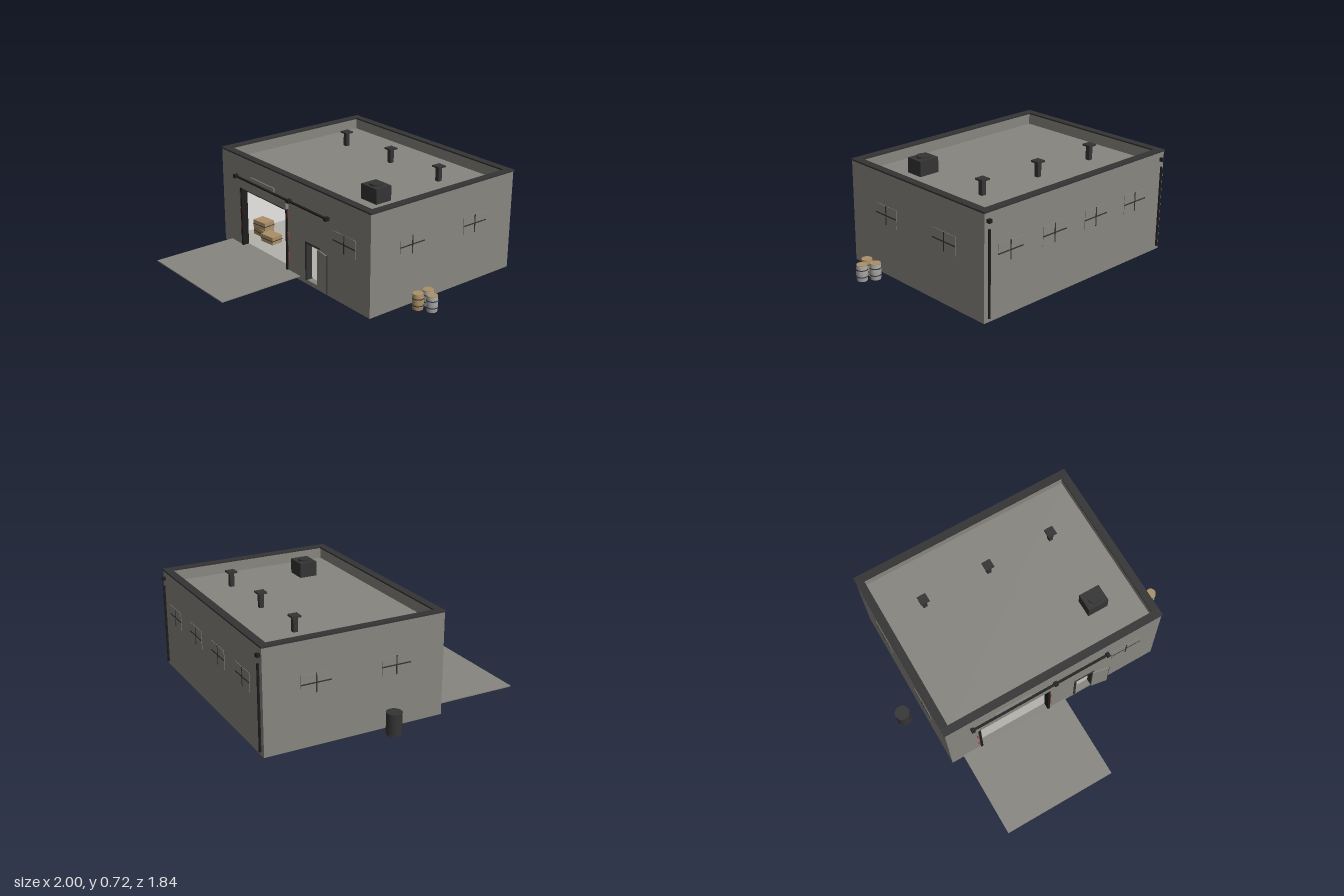
import * as THREE from 'three';

const mat = (name, color) => {
  const m = new THREE.MeshStandardMaterial({ color });
  m.name = name;
  return m;
};

export function createModel() {
  const M = {
    wall: mat('concrete', 0x888680),
    dark: mat('dark metal', 0x343434),
    black: mat('black metal', 0x1e1e1e),
    red: mat('red paint', 0xa04a40),
    wood: mat('wood', 0xab9068),
    steel: mat('light steel', 0xa6a6a6),
    lining: mat('white plaster', 0xf6f5f2),
    floor: mat('floor', 0xb4b2ac),
  };
  const root = new THREE.Group();
  root.name = 'garage';

  const add = (name, geo, m, x, y, z, parent = root) => {
    const mesh = new THREE.Mesh(geo, m);
    mesh.name = name;
    mesh.position.set(x, y, z);
    parent.add(mesh);
    return mesh;
  };
  // Box given by its minimum and maximum on each axis
  const box = (name, m, x0, x1, y0, y1, z0, z1, parent) =>
    add(name, new THREE.BoxGeometry(x1 - x0, y1 - y0, z1 - z0), m,
      (x0 + x1) / 2, (y0 + y1) / 2, (z0 + z1) / 2, parent);
  const cyl = (name, m, r, h, x, y, z, parent, sides = 20) =>
    add(name, new THREE.CylinderGeometry(r, r, h, sides), m, x, y, z, parent);

  const X0 = -0.815, X1 = 0.765, Z0 = -0.9, Z1 = 0.315, T = 0.04;

  // Front wall with the two doorways
  const rectPath = (P, x0, x1, y0, y1) => {
    const p = new P();
    p.moveTo(x0, y0); p.lineTo(x1, y0); p.lineTo(x1, y1); p.lineTo(x0, y1); p.closePath();
    return p;
  };
  const front = rectPath(THREE.Shape, X0, X1, 0, 0.68);
  front.holes.push(rectPath(THREE.Path, -0.595, -0.06, 0.03, 0.46));
  front.holes.push(rectPath(THREE.Path, 0.13, 0.28, 0.03, 0.3));
  add('frontWall', new THREE.ExtrudeGeometry(front, { depth: T, bevelEnabled: false }), M.wall, 0, 0, Z1 - T);

  // Remaining walls, slab and roof
  box('backWall', M.wall, X0, X1, 0, 0.68, Z0, Z0 + T);
  box('leftWall', M.wall, X1 - T, X1, 0, 0.68, Z0 + T, Z1 - T);
  box('rightWall', M.wall, X0, X0 + T, 0, 0.68, Z0 + T, Z1 - T);
  box('slab', M.wall, X0 + T, X1 - T, 0, 0.026, Z0 + T, Z1 - T);
  box('roof', M.wall, X0 + T, X1 - T, 0.585, 0.605, Z0 + T, Z1 - T);
  box('apron', M.wall, -0.73, 0.065, 0.023, 0.03, Z1, 0.92);

  // Interior lining, seen only from inside
  const inside = M.lining.clone();
  inside.side = THREE.BackSide;
  const insideFloor = M.floor.clone();
  insideFloor.side = THREE.BackSide;
  const room = new THREE.BoxGeometry(1.496, 0.55, 1.13);
  room.clearGroups();
  room.addGroup(0, 18, 0);
  room.addGroup(18, 6, 1);
  room.addGroup(24, 6, 2); // the front side stays open
  room.addGroup(30, 6, 0);
  const nothing = room.groups.findIndex((g) => g.materialIndex === 2);
  room.groups.splice(nothing, 1);
  add('interiorLining', room, [inside, insideFloor], -0.025, 0.305, -0.292);

  // Parapet cap
  const C = 0.048;
  box('capFront', M.dark, X0 - 0.005, X1 + 0.005, 0.68, 0.69, Z1 - C, Z1 + 0.005);
  box('capBack', M.dark, X0 - 0.005, X1 + 0.005, 0.68, 0.69, Z0 - 0.005, Z0 + C);
  box('capRight', M.dark, X0 - 0.005, X0 + C, 0.68, 0.69, Z0 + C, Z1 - C);
  box('capLeft', M.dark, X1 - C, X1 + 0.005, 0.68, 0.69, Z0 + C, Z1 - C);

  // Windows, built facing +z and turned onto their wall
  const windowAt = (x, z, turn, w) => {
    const g = new THREE.Group();
    g.name = 'window';
    const h = 0.124;
    box('pane', M.wall, -w / 2, w / 2, -h / 2, h / 2, 0, 0.003, g);
    box('mullion', M.dark, -0.004, 0.004, -h / 2, h / 2, 0, 0.005, g);
    box('transom', M.dark, -w / 2, w / 2, -0.004, 0.004, 0, 0.005, g);
    box('innerPane', M.dark, -w / 2, w / 2, -h / 2, h / 2, -T - 0.012, -T - 0.003, g);
    g.position.set(x, 0.405, z);
    g.rotation.y = turn;
    root.add(g);
  };
  windowAt(0.52, Z1, 0, 0.22);
  for (const x of [-0.54, -0.17, 0.195, 0.56]) windowAt(x, Z0, Math.PI, 0.2);
  for (const z of [-0.02, -0.56]) {
    windowAt(X1, z, Math.PI / 2, 0.2);
    windowAt(X0, z, -Math.PI / 2, 0.2);
  }

  // Vehicle doorway: frame, markers, shutter, sliding rail and sign
  for (const [x, s] of [[-0.588, -1], [-0.067, 1]]) {
    box('doorPost', M.black, x - 0.008, x + 0.008, 0.03, 0.46, Z1 - T, Z1 + 0.008);
    for (const y of [0.13, 0.28, 0.425])
      box('redMarker', M.red, x + s * 0.015 - 0.007, x + s * 0.015 + 0.007, y - 0.02, y + 0.02, Z1, Z1 + 0.005);
  }
  box('rolledShutter', M.dark, -0.595, -0.06, 0.415, 0.465, 0.22, 0.272);
  box('shutterHood', M.wall, -0.62, -0.05, 0.465, 0.525, Z1, Z1 + 0.022);
  box('slidingRail', M.black, -0.64, 0.37, 0.524, 0.534, Z1 + 0.006, Z1 + 0.022);
  for (const x of [-0.635, -0.027, 0.363])
    box('railBracket', M.black, x - 0.012, x + 0.012, 0.517, 0.541, Z1, Z1 + 0.03);
  box('signPlate', M.wall, -0.465, -0.2, 0.535, 0.563, Z1, Z1 + 0.008);

  // Side door with its open leaf
  box('frameLeft', M.dark, 0.268, 0.28, 0.03, 0.3, Z1 - T, Z1 + 0.005);
  box('frameRight', M.dark, 0.13, 0.145, 0.03, 0.3, Z1 - T, Z1 + 0.005);
  box('frameTop', M.dark, 0.145, 0.268, 0.288, 0.3, Z1 - T, Z1 + 0.005);
  const leaf = new THREE.Group();
  leaf.name = 'doorLeaf';
  box('leafPanel', M.wall, 0, 0.115, 0.03, 0.29, 0, 0.008, leaf);
  box('leafEdge', M.dark, 0.115, 0.118, 0.03, 0.29, 0, 0.008, leaf);
  leaf.position.set(0.268, 0, Z1 + 0.006);
  leaf.rotation.y = -0.16;
  root.add(leaf);

  // Vehicle lift
  for (const [x, s] of [[-0.54, 1], [-0.125, -1]]) {
    box('liftPost', M.red, x - 0.02, x + 0.02, 0.03, 0.42, -0.32, -0.27);
    const a = x + s * 0.195;
    box('liftArm', M.red, Math.min(x, a), Math.max(x, a), 0.083, 0.1, -0.3, -0.28);
    cyl('liftPad', M.black, 0.022, 0.01, a - s * 0.02, 0.104, -0.29, root, 12);
  }
  box('liftBase', M.red, -0.57, -0.5, 0.095, 0.14, -0.33, -0.26);

  // Crates with dark bands
  const crate = (x, y, z, turn) => {
    const g = new THREE.Group();
    g.name = 'crate';
    box('crateBody', M.wood, -0.06, 0.06, 0, 0.055, -0.045, 0.045, g);
    box('crateBand', M.dark, -0.0615, 0.0615, 0.024, 0.029, -0.0465, 0.0465, g);
    g.position.set(x, y, z);
    g.rotation.y = turn;
    root.add(g);
  };
  crate(-0.645, 0.031, 0.1, 0);
  crate(-0.645, 0.087, 0.1, 0.12);
  crate(-0.51, 0.031, 0.13, 0.1);

  // Workshop corner behind the side door
  box('cupboard', M.wood, 0.1, 0.215, 0.15, 0.29, -0.8, -0.72);
  box('toolRack', M.red, 0.23, 0.25, 0.03, 0.28, -0.5, -0.46);
  box('rackFoot', M.red, 0.17, 0.27, 0.031, 0.047, -0.52, -0.42);
  box('machine', M.dark, 0.2, 0.275, 0.1, 0.16, -0.45, -0.4);

  // Roof vents and ventilation unit
  for (const x of [-0.5, -0.025, 0.445]) {
    box('ventPipe', M.dark, x - 0.015, x + 0.015, 0.6, 0.7, -0.555, -0.525);
    box('ventCap', M.dark, x - 0.031, x + 0.031, 0.7, 0.711, -0.571, -0.509);
  }
  box('roofUnit', M.dark, 0.375, 0.52, 0.6, 0.705, -0.06, 0.05 + 0.012);
  cyl('unitFan', M.dark, 0.042, 0.012, 0.447, 0.711, 0.002);

  // Downpipes on the back
  for (const x of [-0.785, 0.735]) {
    cyl('downpipe', M.black, 0.008, 0.55, x, 0.305, Z0 - 0.011, root, 10);
    box('rainHead', M.black, x - 0.012, x + 0.012, 0.62, 0.642, Z0 - 0.022, Z0);
  }

  // Barrels, slightly bulged, with hoops
  const barrel = (x, z, body) => {
    const g = new THREE.Group();
    g.name = 'barrel';
    const profile = [[0.033, 0], [0.0365, 0.03], [0.037, 0.052], [0.0365, 0.075], [0.033, 0.104]]
      .map(([r, y]) => new THREE.Vector2(r, y));
    add('barrelBody', new THREE.LatheGeometry(profile, 20), body, 0, 0, 0, g);
    cyl('lid', M.wood, 0.034, 0.003, 0, 0.104, 0, g);
    cyl('bottom', M.wood, 0.033, 0.003, 0, 0.0015, 0, g);
    for (const y of [0.03, 0.075]) cyl('hoop', M.dark, 0.0378, 0.006, 0, y, 0, g);
    g.position.set(x, 0.03, z);
    root.add(g);
  };
  barrel(0.887, 0.033, M.wood);
  barrel(0.887, -0.052, M.steel);
  barrel(0.962, -0.015, M.steel);

  // Oil drum
  cyl('oilDrum', M.dark, 0.049, 0.14, -0.951, 0.1, -0.113, root, 24);
  for (const y of [0.032, 0.168]) cyl('drumRim', M.dark, 0.05, 0.006, -0.951, y, -0.113, root, 24);

  return root;
}
